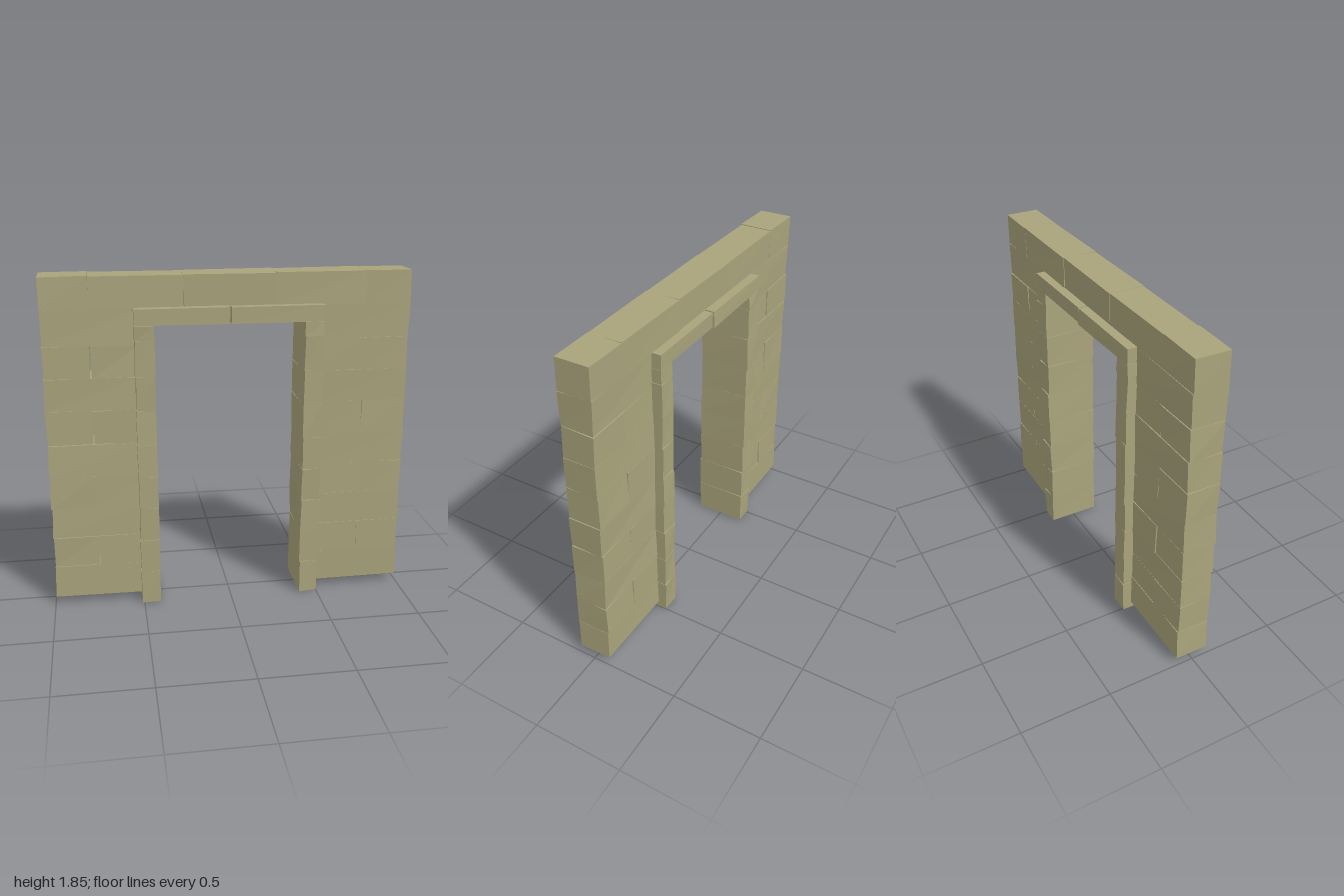
import * as THREE from 'three';

const stone = new THREE.MeshStandardMaterial({ color: 0xa9a37b });
stone.name = 'sandstone';

// Small seeded generator for the hand-cut irregularity
function makeRandom(seed) {
  let s = seed;
  return () => {
    s = (s * 16807) % 2147483647;
    return s / 2147483647;
  };
}

export function createModel() {
  const group = new THREE.Group();
  group.name = 'stoneDoorway';
  const random = makeRandom(4271);

  // Stone block between two corners, each of its eight corners nudged slightly
  function block(name, x0, x1, y0, y1, z0, z1, wobble) {
    const geo = new THREE.BoxGeometry(1, 1, 1).toNonIndexed();
    const nudges = Array.from({ length: 8 }, () =>
      wobble.map((w) => (random() * 2 - 1) * w));
    const pos = geo.attributes.position;
    for (let i = 0; i < pos.count; i++) {
      const [a, b, c] = [pos.getX(i) > 0, pos.getY(i) > 0, pos.getZ(i) > 0];
      const n = nudges[(a ? 1 : 0) + (b ? 2 : 0) + (c ? 4 : 0)];
      pos.setXYZ(i, (a ? x1 : x0) + n[0], (b ? y1 : y0) + n[1], (c ? z1 : z0) + n[2]);
    }
    geo.computeVertexNormals();
    const mesh = new THREE.Mesh(geo, stone);
    mesh.name = name;
    group.add(mesh);
  }

  // Wall courses on both sides, every second one split into two stones
  const courses = [0.05, 0.235, 0.41, 0.59, 0.77, 0.95, 1.138, 1.315, 1.49, 1.68];
  const wallWobble = [0.005, 0.004, 0.004];
  for (const side of [-1, 1]) {
    for (let i = 0; i < courses.length - 1; i++) {
      const cuts = i % 2 ? [0.47, 0.742, 0.99] : [0.47, 0.99];
      for (let j = 0; j < cuts.length - 1; j++) {
        const xs = [cuts[j] * side, cuts[j + 1] * side].sort((a, b) => a - b);
        block('wallStone', xs[0], xs[1], courses[i], courses[i + 1], -0.092, 0.092, wallWobble);
      }
    }
  }

  // Top course running over the opening
  const topCuts = [-0.99, -0.74, -0.245, 0.25, 0.74, 0.988];
  for (let i = 0; i < topCuts.length - 1; i++) {
    block('topStone', topCuts[i], topCuts[i + 1], 1.68, 1.853, -0.094, 0.092, [0.003, 0.003, 0.003]);
  }

  // Jamb stones, deeper than the wall, flush towards the opening
  const jambCourses = [0.01, 0.2, 0.39, 0.58, 0.765, 0.95, 1.14, 1.33, 1.52, 1.6];
  for (const side of [-1, 1]) {
    for (let i = 0; i < jambCourses.length - 1; i++) {
      const inner = side < 0 ? -0.407 : 0.398;
      const outer = side < 0 ? -0.511 : 0.502;
      block('jambStone', Math.min(inner, outer), Math.max(inner, outer),
        jambCourses[i], jambCourses[i + 1], -0.145, 0.15, [0.003, 0.003, 0.005]);
    }
  }

  // Lintel in two halves
  block('lintelLeftHalf', 0.002, 0.5, 1.597, 1.685, -0.14, 0.143, [0.002, 0.002, 0.003]);
  block('lintelRightHalf', -0.51, -0.008, 1.597, 1.685, -0.146, 0.15, [0.002, 0.003, 0.003]);

  return group;
}
